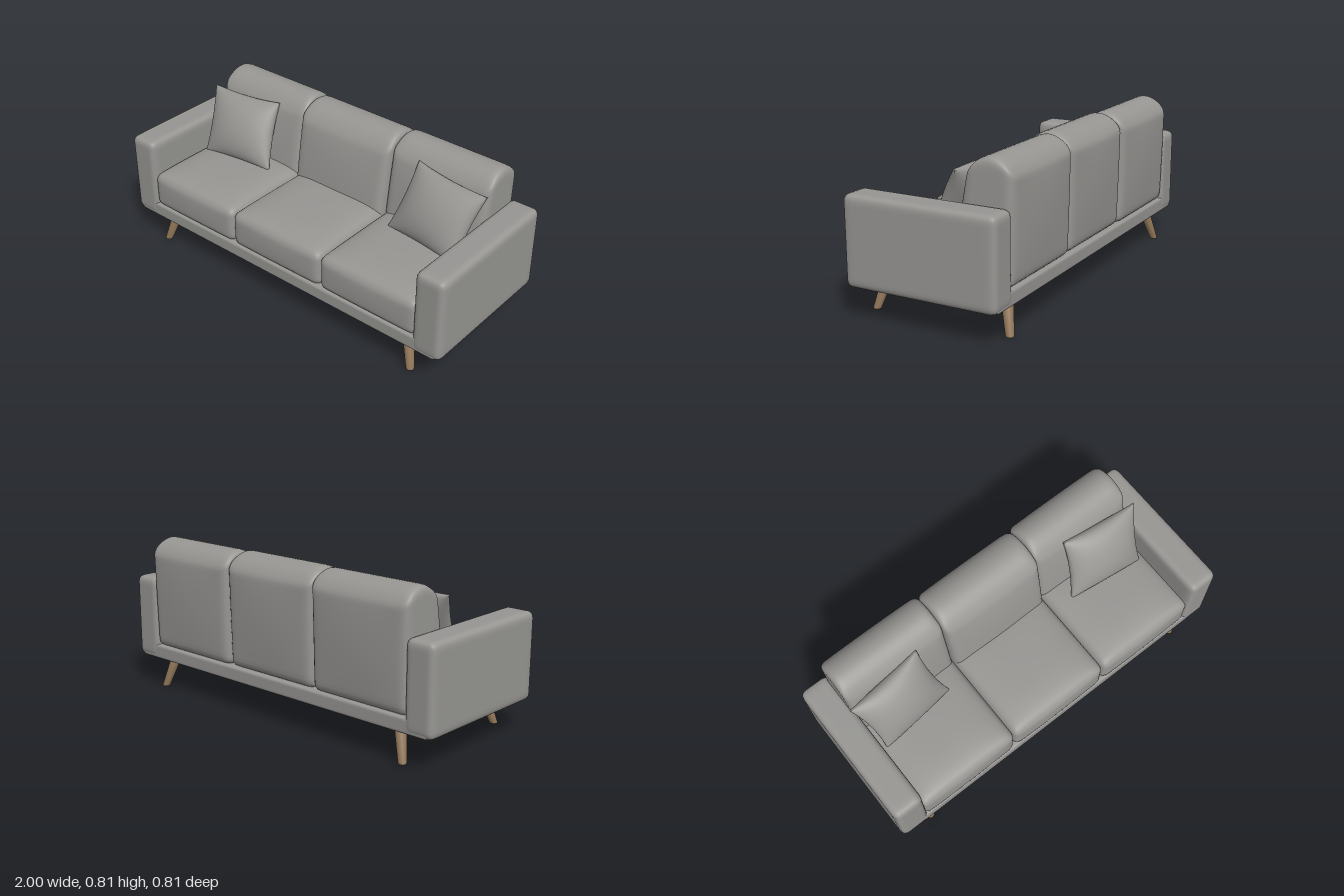
import * as THREE from 'three';
import { mergeVertices } from 'three/addons/utils/BufferGeometryUtils.js';

const fabric = new THREE.MeshStandardMaterial({ color: 0x979693 });
fabric.name = 'grey fabric';
const wood = new THREE.MeshStandardMaterial({ color: 0x8f7558 });
wood.name = 'warm wood';

// Weld vertices so that shading is smooth across the whole surface
function smooth(geo) {
  geo.deleteAttribute('uv');
  geo.deleteAttribute('normal');
  const g = mergeVertices(geo, 1e-5);
  g.computeVertexNormals();
  return g;
}

// Move every vertex by a rule
function warp(geo, rule) {
  const pos = geo.attributes.position;
  const p = new THREE.Vector3();
  for (let i = 0; i < pos.count; i++) {
    p.fromBufferAttribute(pos, i);
    rule(p);
    pos.setXYZ(i, p.x, p.y, p.z);
  }
  return geo;
}

// Padded box: rounded edges, segments packed towards the corners, optional bulge rule.
// The rule gets the point and its position in the box from -1 to 1.
function paddedBox(size, radius, bulge) {
  const half = new THREE.Vector3(...size).multiplyScalar(0.5);
  const inner = half.clone().subScalar(radius);
  const negInner = inner.clone().negate();
  const core = new THREE.Vector3();
  const n = new THREE.Vector3();
  const geo = warp(new THREE.BoxGeometry(2, 2, 2, 22, 22, 22), (p) => {
    p.set(Math.sin(p.x * Math.PI / 2), Math.sin(p.y * Math.PI / 2), Math.sin(p.z * Math.PI / 2));
    p.multiply(half);
    core.copy(p).clamp(negInner, inner);
    p.sub(core).normalize().multiplyScalar(radius).add(core);
    if (bulge) bulge(p, n.copy(p).divide(half));
  });
  return smooth(geo);
}

// Square throw pillow of unit size: pinched sides, thin rim, swollen middle
function pillowGeometry() {
  return smooth(warp(new THREE.BoxGeometry(2, 2, 2, 24, 24, 1), (p) => {
    const u = Math.sin(p.x * Math.PI / 2), v = Math.sin(p.y * Math.PI / 2);
    const swell = Math.pow(Math.max(0, (1 - u * u) * (1 - v * v)), 0.55);
    p.set(
      u * 0.5 * (1.02 - 0.08 * (1 - v * v)),
      v * 0.5 * (1.02 - 0.07 * (1 - u * u)),
      p.z * (0.005 + 0.075 * swell)
    );
  }));
}

export function createModel() {
  const sofa = new THREE.Group();
  sofa.name = 'sofa';

  const add = (name, geo, mat, x = 0, y = 0, z = 0) => {
    const mesh = new THREE.Mesh(geo, mat);
    mesh.name = name;
    mesh.position.set(x, y, z);
    sofa.add(mesh);
    return mesh;
  };

  // Base and arms
  add('base', paddedBox([1.94, 0.078, 0.785], 0.014), fabric, 0, 0.194, 0.005);
  const arm = paddedBox([0.16, 0.442, 0.79], 0.034);
  for (const s of [-1, 1]) add(s > 0 ? 'leftArm' : 'rightArm', arm, fabric, s * 0.92, 0.375, 0.005);

  // Seat cushions with a crowned top
  const seat = paddedBox([0.572, 0.19, 0.6], 0.04, (p, n) => {
    const crown = (1 - n.x ** 4) * (1 - n.z ** 4);
    if (p.y > 0) p.y += 0.03 * crown * n.y;
    if (p.z > 0) p.z += 0.008 * n.z * (1 - n.x ** 2) * (1 - n.y ** 2);
  });

  // Back cushions: domed top, thicker towards the seat, slightly swollen
  const back = (extra) => paddedBox([0.572, 0.585, 0.235], 0.04, (p, n) => {
    const t = (n.y + 1) / 2;
    const face = (1 - n.x ** 2) * (1 - n.y ** 2);
    p.y -= 0.07 * n.z * n.z * t ** 4;
    p.z += (0.085 * (1 - t) + extra) * (n.z + 1) / 2;
    p.z += n.z * 0.014 * face;
    if (n.z < 0) p.z += 0.012 * (1 - t);
  });
  const sideBack = back(0), middleBack = back(0.018);

  ['right', 'middle', 'left'].forEach((side, i) => {
    const x = (i - 1) * 0.57;
    add(side + 'SeatCushion', seat, fabric, x, 0.317, 0.093);
    add(side + 'BackCushion', i === 1 ? middleBack : sideBack, fabric, x, 0.518, i === 1 ? -0.272 : -0.278);
  });

  // Throw pillows leaning back in the corners
  const pillow = pillowGeometry();
  for (const s of [-1, 1]) {
    const across = new THREE.Vector3(0.41, -0.012 * s, 0.045 * s);
    const up = new THREE.Vector3(0.055 * s, 0.315, -0.155);
    const out = across.clone().cross(up).normalize();
    const mesh = add(s > 0 ? 'leftPillow' : 'rightPillow', pillow, fabric);
    const m = new THREE.Matrix4().makeBasis(across, up, out).setPosition(0.632 * s, 0.583, -0.058);
    mesh.geometry = pillow.clone().applyMatrix4(m);
  }

  // Splayed tapered legs with rounded feet
  const profile = [[0, 0], [0.014, 0], [0.019, 0.003], [0.021, 0.01], [0.029, 0.165], [0, 0.165]];
  for (const sx of [-1, 1]) {
    for (const sz of [-1, 1]) {
      const leg = new THREE.LatheGeometry(profile.map(([r, y]) => new THREE.Vector2(r, y)), 20);
      warp(leg, (p) => {
        p.x -= sx * 0.29 * p.y;
        p.z -= sz * 0.25 * p.y;
      });
      leg.computeVertexNormals();
      add((sz > 0 ? 'front' : 'back') + (sx > 0 ? 'Left' : 'Right') + 'Leg', leg, wood, sx * 0.82, 0, sz * 0.359);
    }
    // Rail under the base between the front and back leg
    add(sx > 0 ? 'leftRail' : 'rightRail', paddedBox([0.032, 0.03, 0.49], 0.012), wood, sx * 0.775, 0.155, 0.015);
  }

  return sofa;
}
